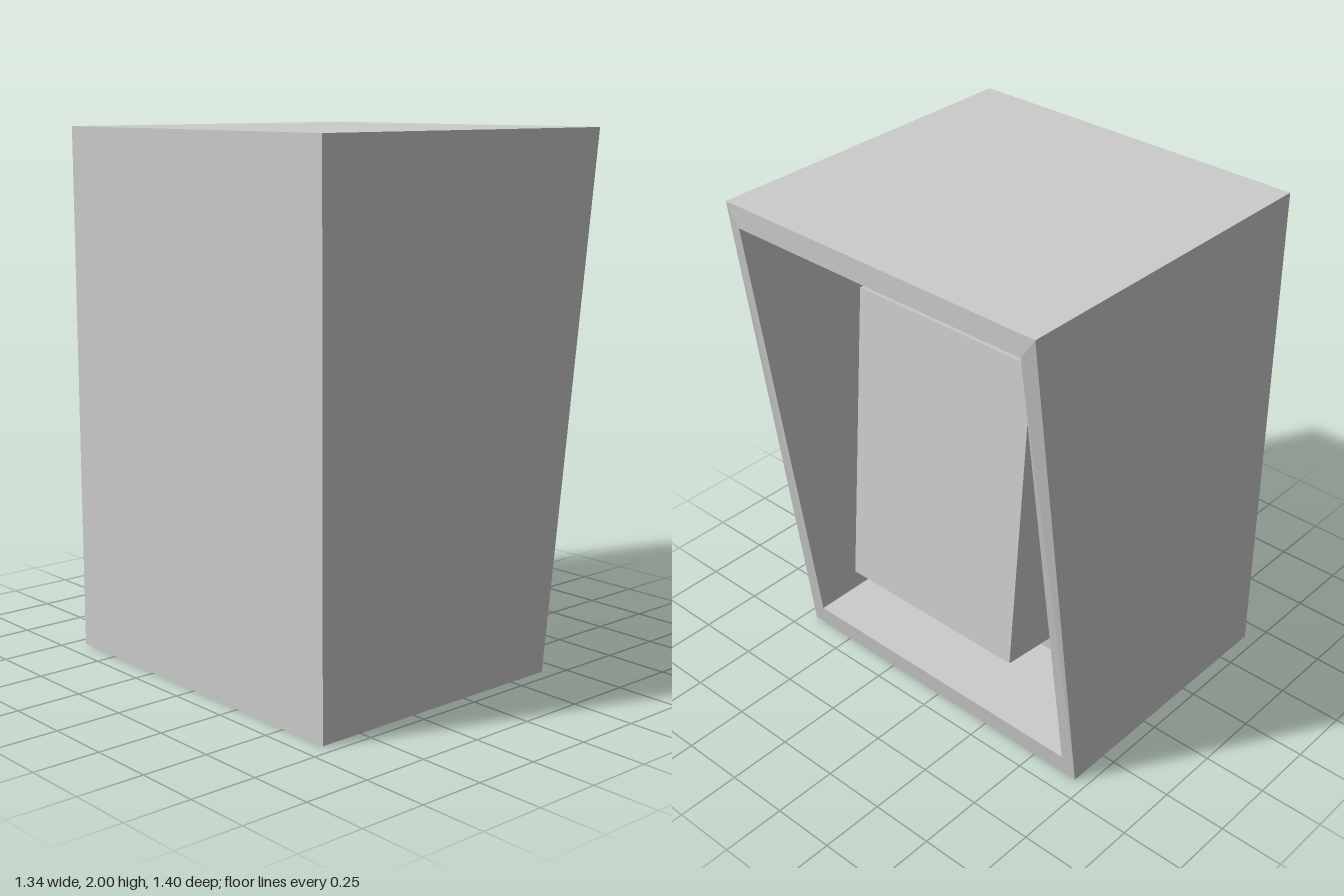
import * as THREE from 'three';

const grey = new THREE.MeshStandardMaterial({ color: 0xcccccc, flatShading: true });

// Rectangular ring of four corners; x differs between bottom and top
function ring(xBottom, xTop, y0, y1, halfZ) {
  return [
    [xBottom, y0, halfZ], [xBottom, y0, -halfZ],
    [xTop, y1, -halfZ], [xTop, y1, halfZ],
  ];
}

// Skin consecutive rings with quads and close both ends
function skin(rings) {
  const pos = [];
  const quad = (a, b, c, d) => pos.push(...a, ...b, ...c, ...a, ...c, ...d);
  for (let r = 0; r < rings.length - 1; r++) {
    for (let i = 0; i < 4; i++) {
      const j = (i + 1) % 4;
      quad(rings[r][i], rings[r][j], rings[r + 1][j], rings[r + 1][i]);
    }
  }
  const [a, b, c, d] = rings[0];
  quad(d, c, b, a);
  quad(...rings[rings.length - 1]);
  const geo = new THREE.BufferGeometry();
  geo.setAttribute('position', new THREE.Float32BufferAttribute(pos, 3));
  geo.computeVertexNormals();
  return geo;
}

export function createModel() {
  const model = new THREE.Group();

  // Hollow cabinet: back wall, slanted rim, then the recess
  const cabinet = new THREE.Mesh(skin([
    ring(-0.67, -0.67, 0, 2, 0.7),
    ring(0.417, 0.667, 0, 2, 0.7),
    ring(0.427, 0.667, 0.087, 1.915, 0.643),
    ring(0, 0, 0.087, 1.915, 0.643),
  ]), grey);
  cabinet.name = 'cabinet';
  model.add(cabinet);

  // Tilted block standing out from the recess wall
  const block = new THREE.Mesh(skin([
    ring(-0.02, -0.02, 0.37, 1.605, 0.405),
    ring(0.451, 0.341, 0.42, 1.64, 0.405),
  ]), grey);
  block.name = 'innerBlock';
  model.add(block);

  return model;
}
